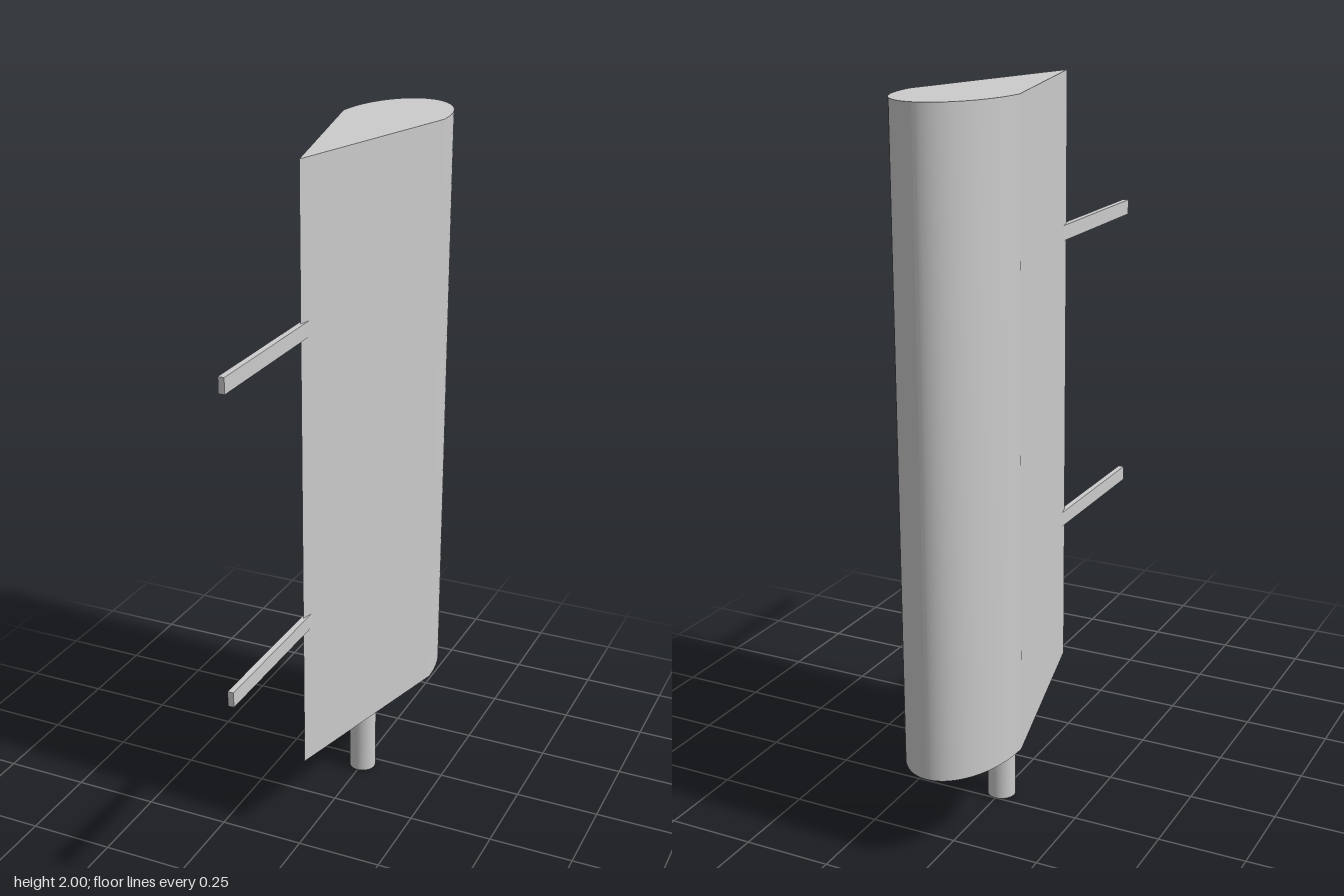
import * as THREE from 'three';
import { toCreasedNormals } from 'three/addons/utils/BufferGeometryUtils.js';

export function createModel() {
  const model = new THREE.Group();
  const material = new THREE.MeshStandardMaterial({ color: 0xcccccc });

  const add = (name, geometry, x, y, z) => {
    const mesh = new THREE.Mesh(geometry, material);
    mesh.name = name;
    mesh.position.set(x, y, z);
    model.add(mesh);
  };

  // Blade: teardrop section with rounded leading edge and sharp trailing edge
  const section = new THREE.Shape();
  section.moveTo(0, -0.21);
  section.lineTo(0.15, 0.385);
  section.absellipse(0, 0.385, 0.15, 0.255, 0, Math.PI, false);
  section.closePath();
  const blade = new THREE.ExtrudeGeometry(section, { depth: 1.74, bevelEnabled: false, curveSegments: 24 });
  blade.rotateX(-Math.PI / 2);
  add('blade', toCreasedNormals(blade, THREE.MathUtils.degToRad(10)), 0, 0.26, 0);

  // Pivot post under the blade
  add('pivotPost', new THREE.CylinderGeometry(0.04, 0.04, 0.27, 32), 0, 0.135, -0.21);

  // Thin arms reaching forward from the trailing edge
  [['lowerArm', 0.705], ['upperArm', 1.557]].forEach(([name, y]) =>
    add(name, new THREE.BoxGeometry(0.017, 0.043, 0.47), 0, y, 0.405));

  return model;
}
